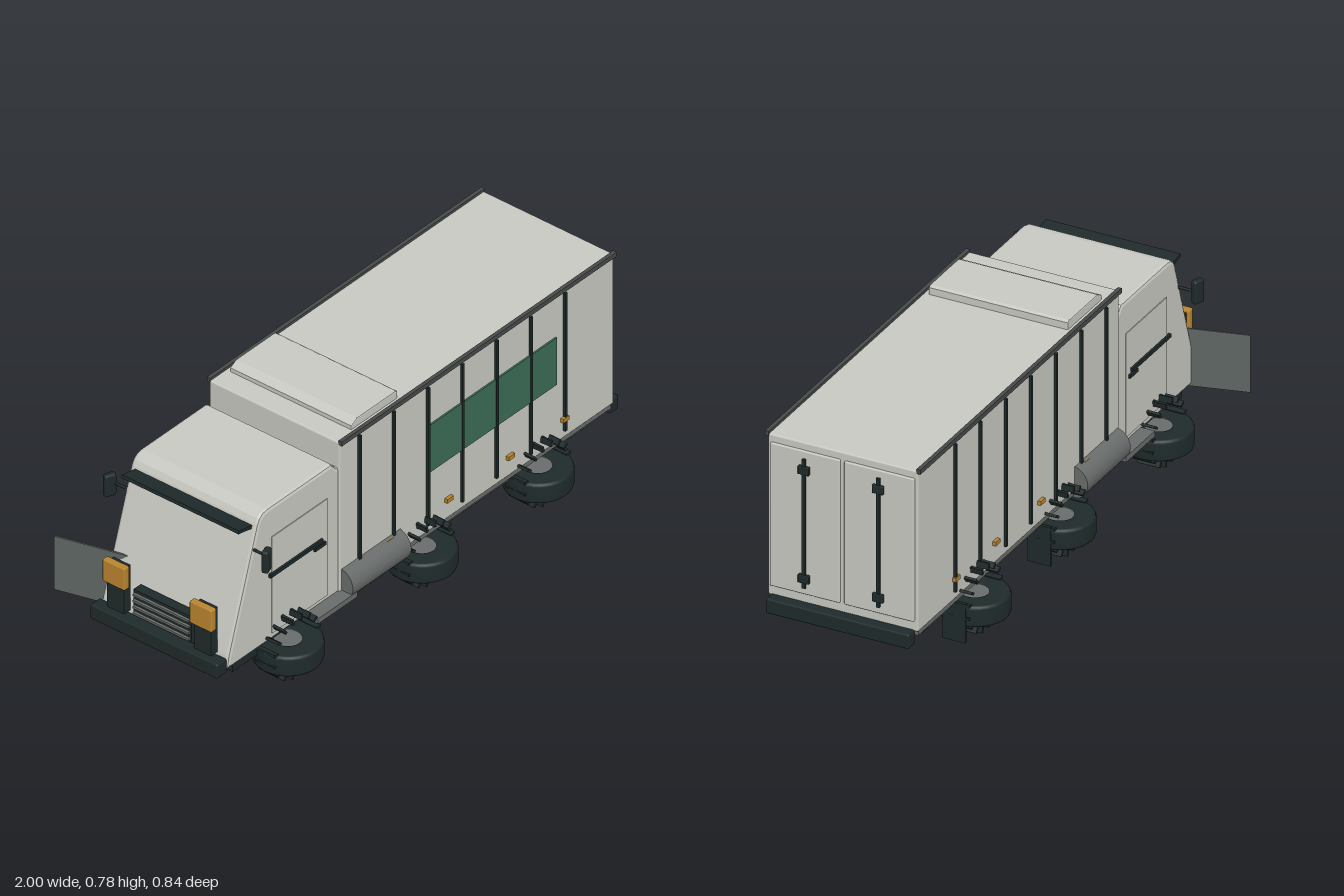
import * as THREE from 'three';
import { RoundedBoxGeometry } from 'three/addons/geometries/RoundedBoxGeometry.js';

const mat = (name, color, side = THREE.FrontSide) => {
  const m = new THREE.MeshStandardMaterial({ color, side });
  m.name = name;
  return m;
};

export function createModel() {
  const shell = mat('off white paint', 0xc9c9c3);
  const dark = mat('dark rubber', 0x1f2a2a);
  const trim = mat('dark grey trim', 0x464a49);
  const metal = mat('grey metal', 0x686c6a);
  const glass = mat('smoked glass', 0x5f6664, THREE.DoubleSide);
  const green = mat('green panel', 0x3b6b55);
  const amber = mat('amber lamp', 0xb9852f);

  const model = new THREE.Group();
  model.name = 'truck';
  const body = new THREE.Group();
  body.name = 'truckBody';
  body.position.z = 0.031; // offset balances the screen sticking out at the back side
  model.add(body);

  const add = (name, geo, m, x = 0, y = 0, z = 0, parent = body) => {
    const mesh = new THREE.Mesh(geo, m);
    mesh.name = name;
    mesh.position.set(x, y, z);
    parent.add(mesh);
    return mesh;
  };
  // box given by its limits on each axis
  const box = (name, m, x0, x1, y0, y1, z0, z1, r = 0) => add(name,
    r ? new RoundedBoxGeometry(x1 - x0, y1 - y0, z1 - z0, 2, r) : new THREE.BoxGeometry(x1 - x0, y1 - y0, z1 - z0),
    m, (x0 + x1) / 2, (y0 + y1) / 2, (z0 + z1) / 2);
  // the same box on both sides
  const pair = (name, m, x0, x1, y0, y1, z0, z1, r = 0) => {
    box(name + 'Left', m, x0, x1, y0, y1, z0, z1, r);
    box(name + 'Right', m, x0, x1, y0, y1, -z1, -z0, r);
  };
  // side profile extruded across the width
  const profile = (name, m, pts, half, bevel) => {
    const geo = new THREE.ExtrudeGeometry(new THREE.Shape(pts.map(p => new THREE.Vector2(...p))), {
      depth: 2 * (half - bevel), bevelEnabled: true, bevelThickness: bevel,
      bevelSize: bevel, bevelOffset: -bevel, bevelSegments: 2,
    });
    return add(name, geo, m, 0, 0, -(half - bevel));
  };

  // Cargo box with roof rails and side ribs
  box('cargoBox', shell, -0.4, 0.96, 0.16, 0.743, -0.27, 0.27, 0.006);
  pair('roofRail', trim, -0.4, 0.962, 0.735, 0.752, 0.266, 0.28);
  for (let i = 0; i < 7; i++) {
    const x = -0.306 + i * 0.17;
    pair('sideRib', dark, x - 0.005, x + 0.005, 0.19, 0.725, 0.268, 0.279);
  }
  box('greenSidePanel', green, 0.035, 0.67, 0.392, 0.575, 0.269, 0.276);
  for (const x of [-0.163, 0.136, 0.44, 0.71]) {
    pair('sideMarker', amber, x - 0.015, x + 0.015, 0.23, 0.245, 0.268, 0.282);
  }
  profile('roofHatch', shell, [[-0.32, 0.74], [-0.09, 0.74], [-0.09, 0.768], [-0.1, 0.774],
    [-0.29, 0.774], [-0.32, 0.758]], 0.251, 0.004);

  // Rear doors with locking rods
  for (const s of [-1, 1]) {
    const z = s * 0.1335;
    box('rearDoor', shell, 0.955, 0.969, 0.198, 0.716, z - 0.1255, z + 0.1255, 0.004);
    box('lockRod', dark, 0.967, 0.977, 0.223, 0.69, z - 0.006, z + 0.006);
    for (const y of [0.257, 0.65]) box('rodBracket', dark, 0.966, 0.98, y - 0.015, y + 0.015, z - 0.02, z + 0.02, 0.003);
  }

  // Cab
  profile('cab', shell, [[-0.948, 0.155], [-0.39, 0.155], [-0.39, 0.64], [-0.405, 0.645], [-0.43, 0.672], [-0.75, 0.672],
    [-0.772, 0.667], [-0.788, 0.654], [-0.798, 0.636], [-0.94, 0.2]], 0.263, 0.012);
  pair('cabDoor', shell, -0.73, -0.455, 0.18, 0.555, 0.26, 0.266);
  pair('doorBar', dark, -0.745, -0.485, 0.405, 0.418, 0.262, 0.274);
  pair('doorHandle', dark, -0.525, -0.47, 0.388, 0.4, 0.262, 0.274);
  const visor = box('sunVisor', dark, -0.868, -0.79, 0.622, 0.634, -0.242, 0.242);
  visor.rotation.z = -0.2;

  // Mirrors
  for (const s of [-1, 1]) {
    const head = add('mirror', new RoundedBoxGeometry(0.042, 0.084, 0.024, 2, 0.008), dark, -0.828, 0.546, s * 0.325);
    head.rotation.y = s * 0.35;
    const arm = add('mirrorArm', new THREE.CylinderGeometry(0.005, 0.005, 0.08, 8), dark, -0.815, 0.55, s * 0.285);
    arm.rotation.x = Math.PI / 2;
  }

  // Front end: bumper, grille, lamps and the swung-out screen
  box('frontBumper', dark, -1, -0.95, 0.145, 0.2, -0.263, 0.263, 0.006);
  box('grille', dark, -0.955, -0.92, 0.19, 0.3, -0.12, 0.12);
  for (let i = 0; i < 4; i++) {
    const y = 0.213 + i * 0.024;
    box('grilleBar', metal, -0.965, -0.95, y - 0.004, y + 0.004, -0.115, 0.115);
  }
  for (const s of [-1, 1]) {
    const z = s * 0.18;
    box('lampHousing', dark, -0.972, -0.94, 0.2, 0.375, z - 0.035, z + 0.035);
    box('headlamp', amber, -0.984, -0.958, 0.3, 0.385, z - 0.046, z + 0.046, 0.005);
  }
  const screen = add('swungScreen', new THREE.BoxGeometry(0.006, 0.207, 0.35), glass, -0.908, 0.254, -0.281);
  screen.rotation.y = 0.26;

  // Chassis, steps, tanks and rear bumper
  box('chassis', dark, -0.89, 0.865, 0.103, 0.16, -0.235, 0.235);
  pair('sideSill', metal, -0.1, 0.95, 0.143, 0.166, 0.24, 0.266);
  pair('sillStrip', trim, -0.37, 0.85, 0.12, 0.145, 0.225, 0.25);
  pair('cabStep', metal, -0.56, -0.365, 0.146, 0.166, 0.22, 0.314);
  for (const s of [-1, 1]) {
    const tank = add('fuelTank', new THREE.CylinderGeometry(0.059, 0.059, 0.29, 24), metal, -0.245, 0.19, s * 0.258);
    tank.rotation.z = Math.PI / 2;
  }
  box('rearBumper', dark, 0.955, 1, 0.113, 0.166, -0.258, 0.258, 0.006);

  // Wheels lie flat, each circled by an upright ring of lugs
  const tyreGeo = new THREE.LatheGeometry([[0.045, -0.034], [0.05, -0.038], [0.106, -0.038], [0.113, -0.035], [0.116, -0.027],
    [0.116, 0.027], [0.113, 0.035], [0.106, 0.038], [0.05, 0.038], [0.045, 0.034]].map(p => new THREE.Vector2(...p)), 32);
  const hubGeo = new THREE.CylinderGeometry(0.047, 0.047, 0.066, 24);
  const lugGeo = new THREE.BoxGeometry(0.021, 0.009, 0.08);
  for (const x of [-0.66, 0.005, 0.58]) for (const s of [-1, 1]) {
    const wheel = new THREE.Group();
    wheel.name = 'wheel';
    wheel.position.set(x, 0.093, s * 0.273);
    body.add(wheel);
    add('tyre', tyreGeo, dark, 0, 0, 0, wheel);
    add('hub', hubGeo, metal, 0, 0, 0, wheel);
    for (let i = 0; i < 16; i++) {
      const a = (i + 0.5) * Math.PI / 8;
      const lug = add('treadLug', lugGeo, dark, 0.107 * Math.cos(a), 0.018 + 0.107 * Math.sin(a), 0, wheel);
      lug.rotation.z = a;
    }
  }
  for (const x of [0.115, 0.69]) pair('mudFlap', dark, x - 0.006, x + 0.006, 0, 0.14, 0.218, 0.3);
  return model;
}
